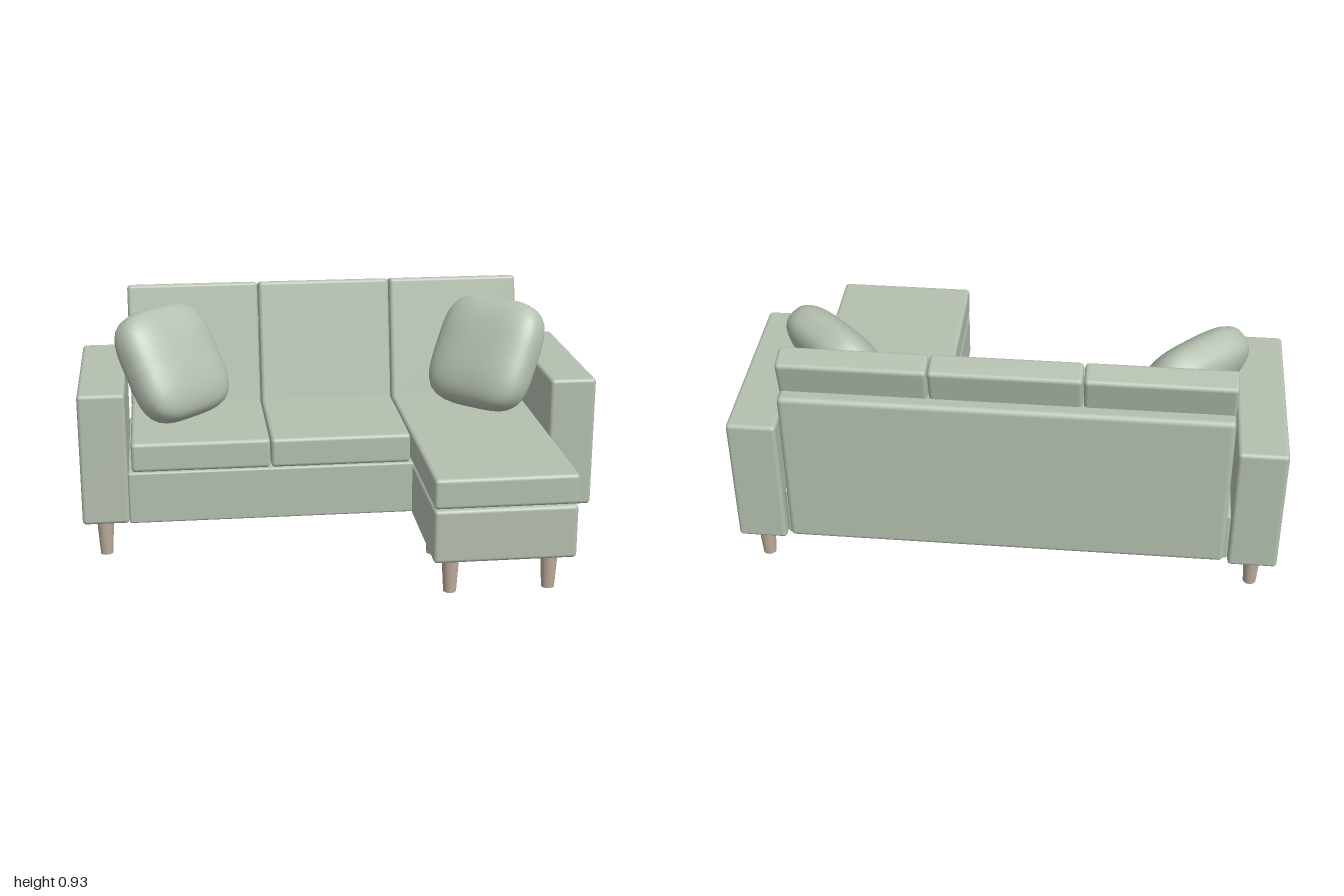
import * as THREE from 'three';
import { RoundedBoxGeometry } from 'three/addons/geometries/RoundedBoxGeometry.js';

const fabric = new THREE.MeshStandardMaterial({ color: 0xb4c0b0 });
const wood = new THREE.MeshStandardMaterial({ color: 0xbfae9b });

// Rounded box given by its min and max on each axis
function block(name, [x0, x1], [y0, y1], [z0, z1], radius = 0.015) {
  const geometry = new RoundedBoxGeometry(x1 - x0, y1 - y0, z1 - z0, 3, radius);
  const mesh = new THREE.Mesh(geometry, fabric);
  mesh.name = name;
  mesh.position.set((x0 + x1) / 2, (y0 + y1) / 2, (z0 + z1) / 2);
  return mesh;
}

// Plump square pillow: a sphere pushed out to a rounded-square outline
function pillowGeometry(width, height, thickness) {
  const geometry = new THREE.SphereGeometry(1, 48, 32);
  geometry.rotateX(Math.PI / 2);
  const p = geometry.attributes.position;
  const n = 3.8, e = 0.75;
  for (let i = 0; i < p.count; i++) {
    const x = p.getX(i), y = p.getY(i), z = p.getZ(i);
    const rho = Math.hypot(x, y);
    let px = 0, py = 0;
    if (rho > 1e-6) {
      const cx = x / rho, cy = y / rho;
      const k = rho ** e / (Math.abs(cx) ** n + Math.abs(cy) ** n) ** (1 / n);
      px = cx * k;
      py = cy * k;
    }
    const pz = Math.sign(z) * Math.abs(z) ** e;
    p.setXYZ(i, px * width / 2, py * height / 2, pz * thickness / 2);
  }
  geometry.computeVertexNormals();
  return geometry;
}

export function createModel() {
  const sofa = new THREE.Group();
  sofa.name = 'sectionalSofa';

  // Frame
  sofa.add(block('base', [-0.82, 0.82], [0.14, 0.345], [-0.6, 0.105], 0.008));
  sofa.add(block('backPanel', [-0.805, 0.805], [0.15, 0.79], [-0.632, -0.54], 0.02));
  sofa.add(block('chaiseBase', [0.275, 0.805], [0.14, 0.345], [0.12, 0.632]));

  // Arms
  for (const side of [-1, 1]) {
    const x = side < 0 ? [-1, -0.82] : [0.82, 1];
    sofa.add(block(side < 0 ? 'rightArm' : 'leftArm', x, [0.14, 0.66], [-0.635, 0.105]));
  }

  // Seat cushions (the last one runs out over the chaise) and leaning back cushions
  const bays = [[-0.805, -0.274], [-0.27, 0.27], [0.274, 0.805]];
  bays.forEach((bay, i) => {
    const chaise = i === 2;
    sofa.add(block(chaise ? 'chaiseCushion' : 'seatCushion', bay, [0.35, 0.465], [-0.52, chaise ? 0.635 : 0.115]));

    const back = block('backCushion', bay, [0.433, 0.933], [-0.557, -0.457]);
    back.position.set((bay[0] + bay[1]) / 2, 0.683, -0.507);
    back.rotation.x = -0.218;
    sofa.add(back);
  });

  // Throw pillows turned towards the middle and leaning back
  const pillowShape = pillowGeometry(0.45, 0.46, 0.21);
  for (const side of [-1, 1]) {
    const pillow = new THREE.Mesh(pillowShape, fabric);
    pillow.name = 'throwPillow';
    pillow.position.set(side * 0.633, 0.683, -0.237);
    pillow.rotation.set(-Math.PI / 6, -side * Math.PI / 4, 0, 'YXZ');
    sofa.add(pillow);
  }

  // Tapered legs
  const legShape = new THREE.CylinderGeometry(0.033, 0.024, 0.145, 24);
  const spots = [];
  for (const x of [-0.915, 0.915]) for (const z of [-0.555, 0.045]) spots.push([x, z]);
  for (const x of [0.35, 0.72]) for (const z of [0.19, 0.555]) spots.push([x, z]);
  for (const [x, z] of spots) {
    const leg = new THREE.Mesh(legShape, wood);
    leg.name = 'leg';
    leg.position.set(x, 0.0725, z);
    sofa.add(leg);
  }
  return sofa;
}
